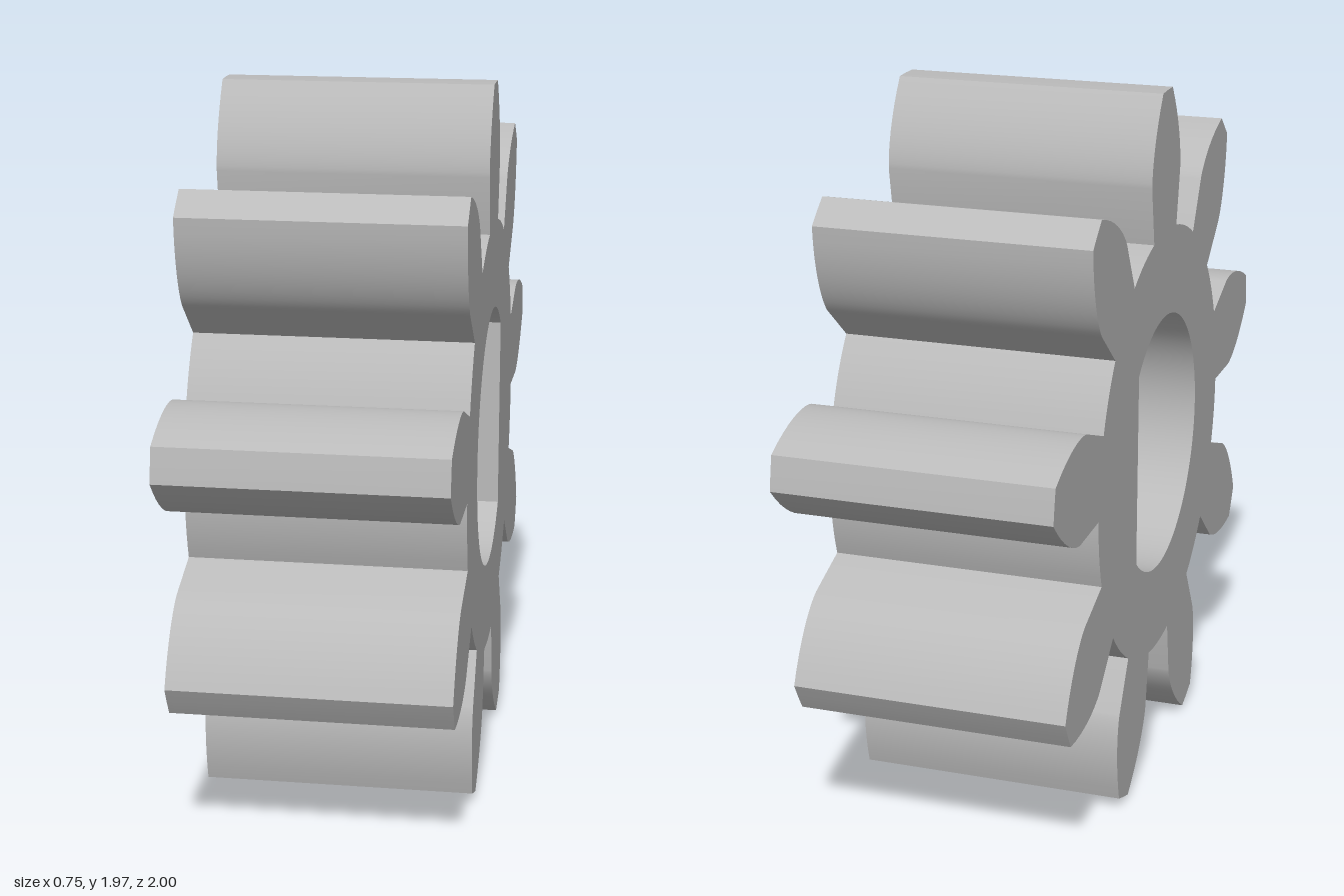
import * as THREE from 'three';
import { toCreasedNormals } from 'three/addons/utils/BufferGeometryUtils.js';

const TEETH = 9, WIDTH = 0.754, CENTER_Y = 0.965;
const ROOT = 0.617, BASE = 0.775, TIP = 1.009; // radii
const HALF = 0.186; // half tooth angle at the base circle
const BORE = 0.369, FLAT = 0.247;

// Half tooth angle at radius r: radial below the base circle, involute above
function halfAngle(r) {
  if (r <= BASE) return HALF;
  const a = Math.acos(BASE / r);
  return HALF - (Math.tan(a) - a);
}

function gearShape() {
  const points = [];
  const add = (r, angle) => points.push(new THREE.Vector2(r * Math.cos(angle), r * Math.sin(angle)));
  const pitch = (2 * Math.PI) / TEETH;
  const flank = [ROOT];
  for (let i = 0; i <= 10; i++) flank.push(BASE + (TIP - BASE) * (i / 10) ** 1.5);

  for (let t = 0; t < TEETH; t++) {
    const mid = Math.PI / 2 + t * pitch;
    for (const r of flank) add(r, mid - halfAngle(r));
    add(TIP, mid);
    for (const r of [...flank].reverse()) add(r, mid + halfAngle(r));
    // root arc up to the next tooth
    for (let i = 1; i < 6; i++) add(ROOT, mid + HALF + (pitch - 2 * HALF) * (i / 6));
  }
  const shape = new THREE.Shape(points);

  // D-shaped shaft bore
  const start = Math.acos(FLAT / BORE);
  const bore = [];
  for (let i = 0; i <= 56; i++) {
    const a = start + (2 * Math.PI - 2 * start) * (i / 56);
    bore.push(new THREE.Vector2(BORE * Math.cos(a), BORE * Math.sin(a)));
  }
  shape.holes.push(new THREE.Path(bore));
  return shape;
}

export function createModel() {
  const model = new THREE.Group();
  model.name = 'pinionGear';
  const grey = new THREE.MeshStandardMaterial({ color: 0xbababa });
  grey.name = 'grey';

  let geometry = new THREE.ExtrudeGeometry(gearShape(), { depth: WIDTH, bevelEnabled: false, steps: 1 });
  geometry.translate(0, 0, -WIDTH / 2);
  geometry.rotateY(Math.PI / 2); // gear axis along x
  geometry = toCreasedNormals(geometry, 0.3);
  geometry.clearGroups();

  const gear = new THREE.Mesh(geometry, grey);
  gear.name = 'gearBody';
  gear.position.y = CENTER_Y;
  model.add(gear);
  return model;
}
